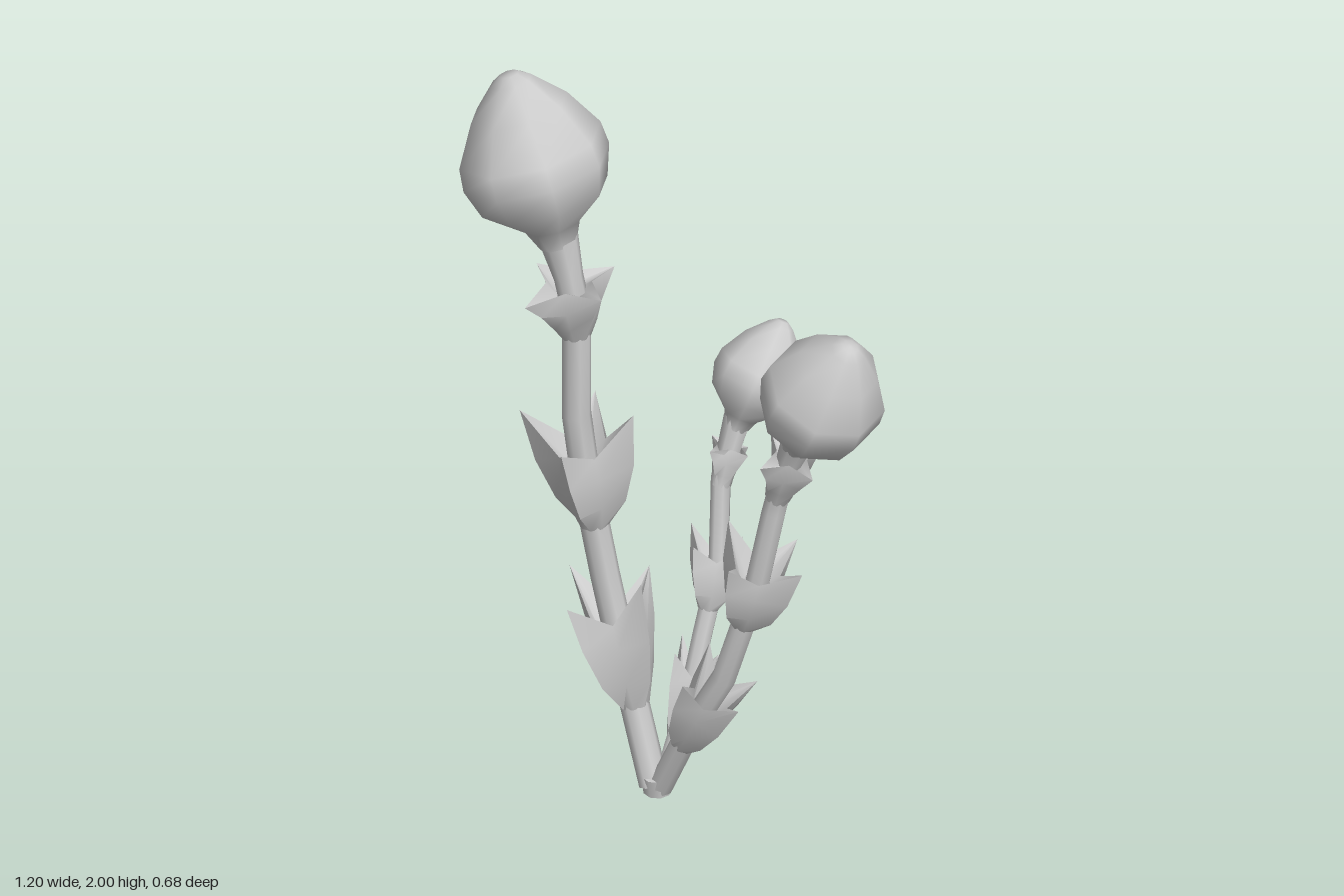
import * as THREE from 'three';
import { toCreasedNormals } from 'three/addons/utils/BufferGeometryUtils.js';

const SIDES = 8;
const UP = new THREE.Vector3(0, 1, 0);
const material = new THREE.MeshStandardMaterial({ color: 0xcccccc, side: THREE.DoubleSide });

// Skins a list of rings; point(row, side) returns a Vector3
function skin(rows, point) {
  const pos = [], index = [];
  for (let i = 0; i < rows; i++) {
    for (let j = 0; j < SIDES; j++) {
      pos.push(...point(i, j).toArray());
      if (i === rows - 1) continue;
      const a = i * SIDES + j, b = i * SIDES + (j + 1) % SIDES;
      index.push(a, a + SIDES, b, b, a + SIDES, b + SIDES);
    }
  }
  const g = new THREE.BufferGeometry();
  g.setAttribute('position', new THREE.Float32BufferAttribute(pos, 3));
  g.setIndex(index);
  g.computeVertexNormals();
  return g;
}

// Point at angle and radius around an axis through centre
function around(centre, axis, radius, angle) {
  const q = new THREE.Quaternion().setFromUnitVectors(UP, axis);
  return new THREE.Vector3(Math.cos(angle) * radius, 0, Math.sin(angle) * radius)
    .applyQuaternion(q).add(centre);
}

const angleOf = (j) => (j / SIDES) * Math.PI * 2;

function addMesh(parent, name, geometry) {
  const mesh = new THREE.Mesh(geometry, material);
  mesh.name = name;
  parent.add(mesh);
}

// Position on the stem at a given height
function atHeight(path, y) {
  let i = 1;
  while (i < path.length - 1 && path[i].y < y) i++;
  const a = path[i - 1], b = path[i];
  return a.clone().lerp(b, (y - a.y) / (b.y - a.y));
}

// Stem of even width, flaring into the bud at its end
function stemGeometry(path, radius) {
  return skin(path.length, (i, j) => {
    const axis = path[Math.min(i + 1, path.length - 1)].clone()
      .sub(path[Math.max(i - 1, 0)]).normalize();
    const r = i === path.length - 1 ? radius * 1.45 : radius;
    return around(path[i], axis, r, angleOf(j));
  });
}

// Swollen bud: [position along axis, share of full radius]
const BUD = [[0, 0.25], [0.12, 0.38], [0.28, 0.86], [0.45, 1], [0.58, 0.97],
  [0.8, 0.66], [0.96, 0.28], [1, 0.13], [1, 0]];

function budGeometry(from, to, radius, twist) {
  const axis = to.clone().sub(from).normalize();
  return skin(BUD.length, (i, j) =>
    around(from.clone().lerp(to, BUD[i][0]), axis, radius * BUD[i][1], angleOf(j) + twist));
}

// Collars of four pointed leaves: [leaf t, leaf radius, valley t, valley radius]
const FULL = [[0, 0, 0, 0], [0.22, 0.62, 0.22, 0.4], [0.55, 0.87, 0.5, 0.5],
  [1, 1, 0.68, 0.44], [0.55, 0, 0.5, 0]];
const SPREAD = [[0, 0, 0, 0], [0.22, 0.44, 0.25, 0.42], [0.5, 0.68, 0.55, 0.55],
  [0.85, 1, 0.85, 0.42], [0.7, 0, 0.7, 0]];

function collarGeometry(path, stemRadius, profile, [y0, y1, radius, twist]) {
  const from = atHeight(path, y0), to = atHeight(path, y1);
  const axis = to.clone().sub(from).normalize();
  const g = skin(profile.length, (i, j) => {
    const [lt, lr, vt, vr] = profile[i];
    const leaf = j % 2 === 0;
    const uneven = leaf && i === 3 ? 1 - 0.05 * (j % 4) : 1;
    const t = (leaf ? lt : vt) * uneven;
    const r = Math.max(stemRadius, radius * (leaf ? lr : vr));
    return around(from.clone().lerp(to, t), axis, r, angleOf(j) + twist);
  });
  return toCreasedNormals(g, 1.1);
}

// Collars: [bottom height, top height, radius, twist]
const STALKS = [
  {
    name: 'tallStalk', radius: 0.038, budRadius: 0.194, budTwist: 0,
    path: [[-0.07, 0.02, 0.13], [-0.16, 0.28, 0.1], [-0.23, 0.57, 0.1], [-0.275, 0.85, 0.12],
      [-0.29, 1.05, 0.14], [-0.29, 1.35, 0.14], [-0.31, 1.45, 0.145], [-0.345, 1.59, 0.15]],
    bud: [[-0.335, 1.54, 0.15], [-0.482, 1.995, 0.15]],
    collars: [[0.22, 0.57, 0.14, 0.3], [0.72, 1.05, 0.15, -0.25], [1.28, 1.46, 0.14, 0.4]],
  },
  {
    name: 'middleStalk', radius: 0.032, budRadius: 0.16, budTwist: Math.PI / 8,
    path: [[-0.05, 0.02, 0.13], [0.06, 0.25, 0.16], [0.16, 0.43, 0.17], [0.25, 0.72, 0.165],
      [0.29, 0.95, 0.145], [0.32, 1.08, 0.14], [0.38, 1.22, 0.16]],
    bud: [[0.36, 1.17, 0.155], [0.55, 1.55, 0.205]],
    collars: [[0.18, 0.43, 0.108, 0.6], [0.6, 0.84, 0.13, 0.2], [0.99, 1.16, 0.095, 0.4]],
  },
  {
    name: 'shortStalk', radius: 0.026, budRadius: 0.116, budTwist: Math.PI / 8,
    path: [[-0.05, 0.02, 0.12], [-0.025, 0.25, 0.03], [-0.02, 0.4, -0.025], [-0.01, 0.57, -0.085],
      [-0.03, 0.8, -0.13], [-0.01, 0.96, -0.18]],
    bud: [[-0.01, 0.93, -0.165], [0.053, 1.2, -0.295]],
    collars: [[0.14, 0.37, 0.075, 0.4], [0.46, 0.65, 0.095, 0.2], [0.78, 0.9, 0.068, 0.3]],
  },
];

export function createModel() {
  const model = new THREE.Group();
  model.name = 'buddingPlant';
  const vec = (p) => new THREE.Vector3(...p);

  for (const s of STALKS) {
    const stalk = new THREE.Group();
    stalk.name = s.name;
    const path = s.path.map(vec);
    addMesh(stalk, 'stem', stemGeometry(path, s.radius));
    addMesh(stalk, 'bud', budGeometry(vec(s.bud[0]), vec(s.bud[1]), s.budRadius, s.budTwist));
    // The top collar spreads wider than the lower two
    s.collars.forEach((c, i) =>
      addMesh(stalk, 'leafCollar', collarGeometry(path, s.radius, i === 2 ? SPREAD : FULL, c)));
    model.add(stalk);
  }

  // Small foot joining the three stalks
  const foot = new THREE.CylinderGeometry(0.042, 0.035, 0.05, SIDES);
  foot.translate(-0.06, 0.025, 0.13);
  addMesh(model, 'foot', foot);
  return model;
}
